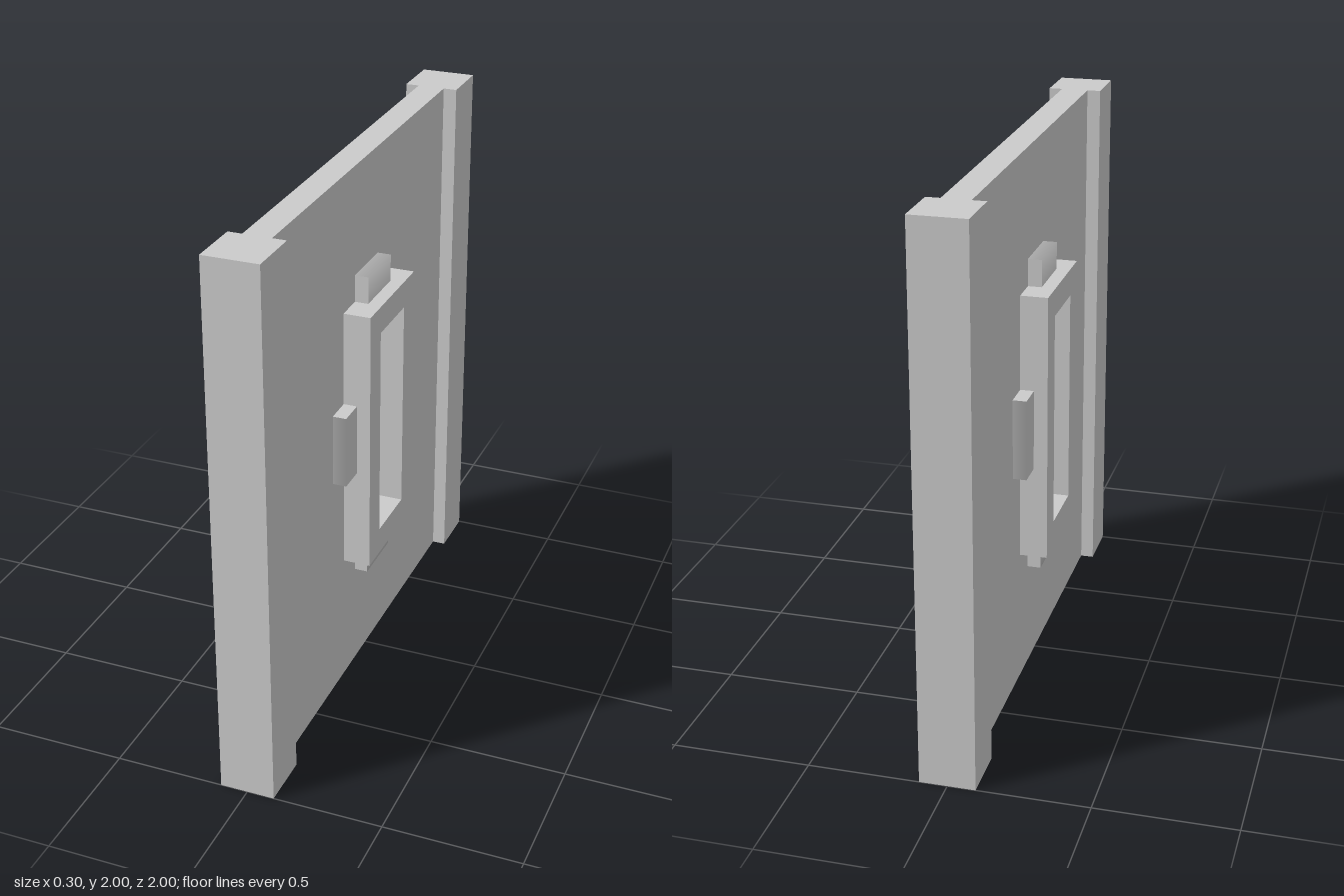
import * as THREE from 'three';

const material = new THREE.MeshStandardMaterial({ color: 0xcccccc });

function rectPoints(w, h) {
  return [[-w, -h], [w, -h], [w, h], [-w, h]].map(([x, y]) => new THREE.Vector2(x / 2, y / 2));
}

// Rectangular plate facing x, with a rectangular opening
function openPlate(w, h, holeW, holeH, depth) {
  const shape = new THREE.Shape(rectPoints(w, h));
  shape.holes.push(new THREE.Path(rectPoints(holeW, holeH).reverse()));
  return new THREE.ExtrudeGeometry(shape, { depth, bevelEnabled: false })
    .translate(0, 0, -depth / 2)
    .rotateY(Math.PI / 2);
}

// Square bar along y: softly shaded sides, flat ends
function bar(size, length) {
  return new THREE.CylinderGeometry(size * Math.SQRT1_2, size * Math.SQRT1_2, length, 4)
    .rotateY(Math.PI / 4);
}

export function createModel() {
  const model = new THREE.Group();
  const add = (name, geometry, y, z) => {
    const mesh = new THREE.Mesh(geometry, material);
    mesh.name = name;
    mesh.position.set(0, y, z);
    model.add(mesh);
    return mesh;
  };

  // Wall panel and window frame
  add('wallPanel', openPlate(1.6, 2, 0.34, 0.9, 0.1), 1, 0);
  add('windowFrame', openPlate(0.435, 1, 0.235, 0.8, 0.3), 1, 0);

  // Pillars at both ends
  for (const s of [1, -1]) {
    add(s > 0 ? 'frontPillar' : 'backPillar', new THREE.BoxGeometry(0.2, 2, 0.2), 1, 0.9 * s);
  }

  // Blocks around the frame, running through the panel
  add('frontBlock', bar(0.2, 0.27), 1.015, 0.22);
  add('backBlock', bar(0.2, 0.3), 1, -0.22);
  for (const s of [1, -1]) {
    const block = add(s > 0 ? 'topBlock' : 'bottomBlock', bar(0.2, 0.22), 1 + 0.5 * s, 0);
    block.rotation.x = Math.PI / 2;
  }
  // Keep the blocks' inner halves out of the opening
  for (const child of model.children) {
    if (child.name === 'frontBlock' || child.name === 'backBlock') {
      child.scale.z = 0.98;
      child.position.z = Math.sign(child.position.z) * 0.222;
    } else if (child.name === 'topBlock' || child.name === 'bottomBlock') {
      child.scale.z = 0.98;
      child.position.y = 1 + Math.sign(child.position.y - 1) * 0.502;
    }
  }
  return model;
}
